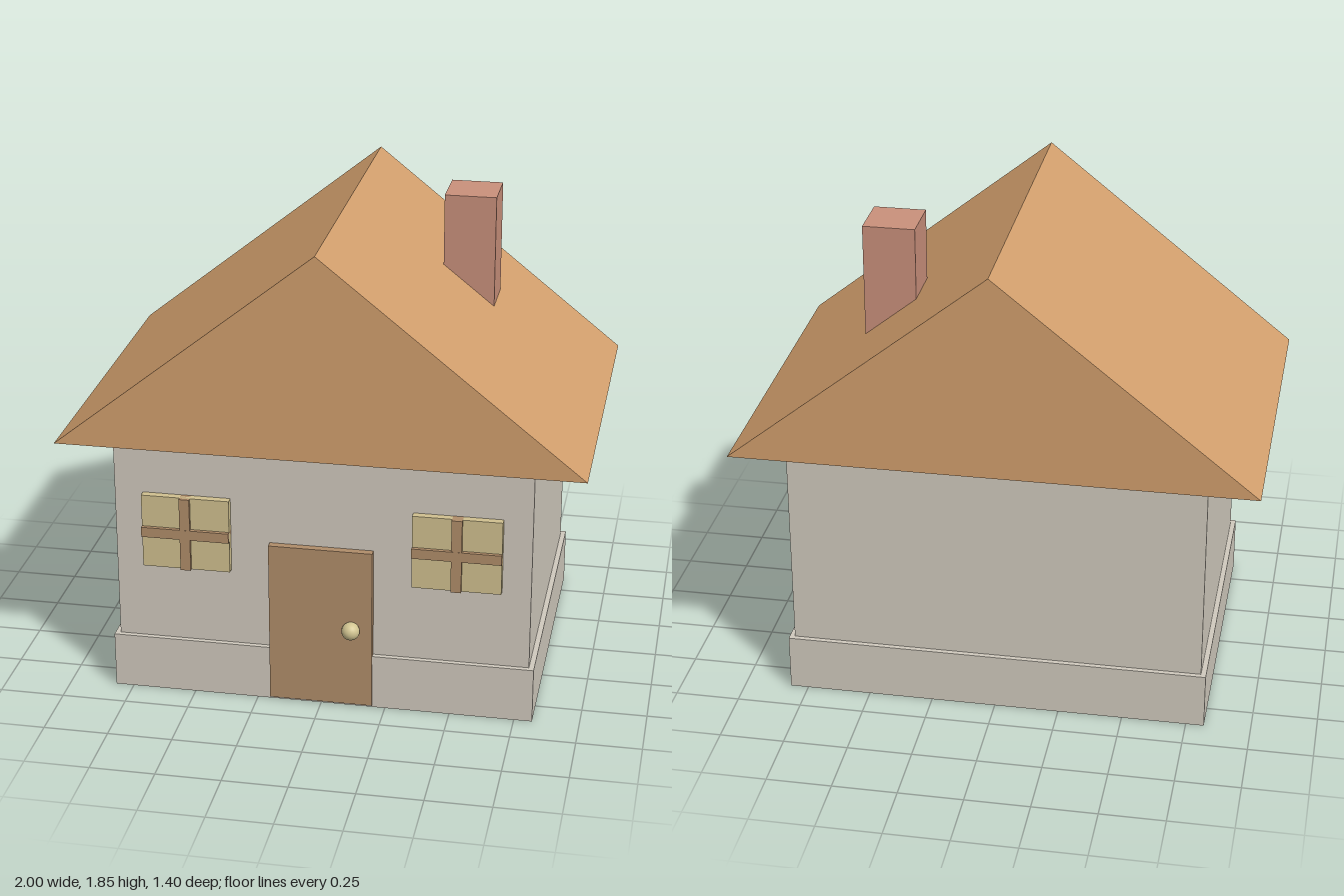
import * as THREE from 'three';

const mat = (name, color) => {
  const m = new THREE.MeshStandardMaterial({ color });
  m.name = name;
  return m;
};

export function createModel() {
  const house = new THREE.Group();
  house.name = 'house';

  const plaster = mat('plaster', 0xd0c9bd);
  const roofTile = mat('roofTile', 0xd29f6d);
  const brick = mat('brick', 0xc9907b);
  const wood = mat('wood', 0xb08d6a);
  const glass = mat('glass', 0xd0c08f);
  const brass = mat('brass', 0xd2c592);

  const add = (parent, name, geometry, material, x, y, z) => {
    const mesh = new THREE.Mesh(geometry, material);
    mesh.name = name;
    mesh.position.set(x, y, z);
    parent.add(mesh);
    return mesh;
  };
  // Box given by its lower and upper corners
  const box = (parent, name, material, [x0, y0, z0], [x1, y1, z1]) =>
    add(parent, name, new THREE.BoxGeometry(x1 - x0, y1 - y0, z1 - z0), material,
      (x0 + x1) / 2, (y0 + y1) / 2, (z0 + z1) / 2);

  // Walls and plinth
  box(house, 'walls', plaster, [-0.8, 0.02, -0.6], [0.8, 1.05, 0.6]);
  box(house, 'plinth', plaster, [-0.82, 0, -0.62], [0.82, 0.22, 0.62]);

  // Gabled roof: a solid triangular prism
  const gable = new THREE.Shape();
  gable.moveTo(-1, 0);
  gable.lineTo(1, 0);
  gable.lineTo(0, 0.8);
  gable.closePath();
  const roof = new THREE.ExtrudeGeometry(gable, { depth: 1.4, bevelEnabled: false });
  add(house, 'roof', roof, roofTile, 0, 1.05, -0.7);

  // Chimney, sunk into the roof slope
  box(house, 'chimney', brick, [0.35, 1.3, -0.3], [0.55, 1.85, -0.1]);

  // Door with a round knob
  box(house, 'door', wood, [-0.2, 0.01, 0.59], [0.2, 0.66, 0.63]);
  add(house, 'doorKnob', new THREE.SphereGeometry(0.035, 24, 16), brass, 0.12, 0.335, 0.645);

  // Pair of windows with crossed glazing bars
  for (const [name, side] of [['leftWindow', 1], ['rightWindow', -1]]) {
    const win = new THREE.Group();
    win.name = name;
    win.position.set(side * 0.52, 0.683, 0);
    box(win, 'pane', glass, [-0.17, -0.148, 0.59], [0.17, 0.148, 0.63]);
    box(win, 'uprightBar', wood, [-0.02, -0.148, 0.6], [0.02, 0.148, 0.644]);
    box(win, 'crossBar', wood, [-0.17, -0.02, 0.6], [0.17, 0.02, 0.645]);
    house.add(win);
  }

  return house;
}
